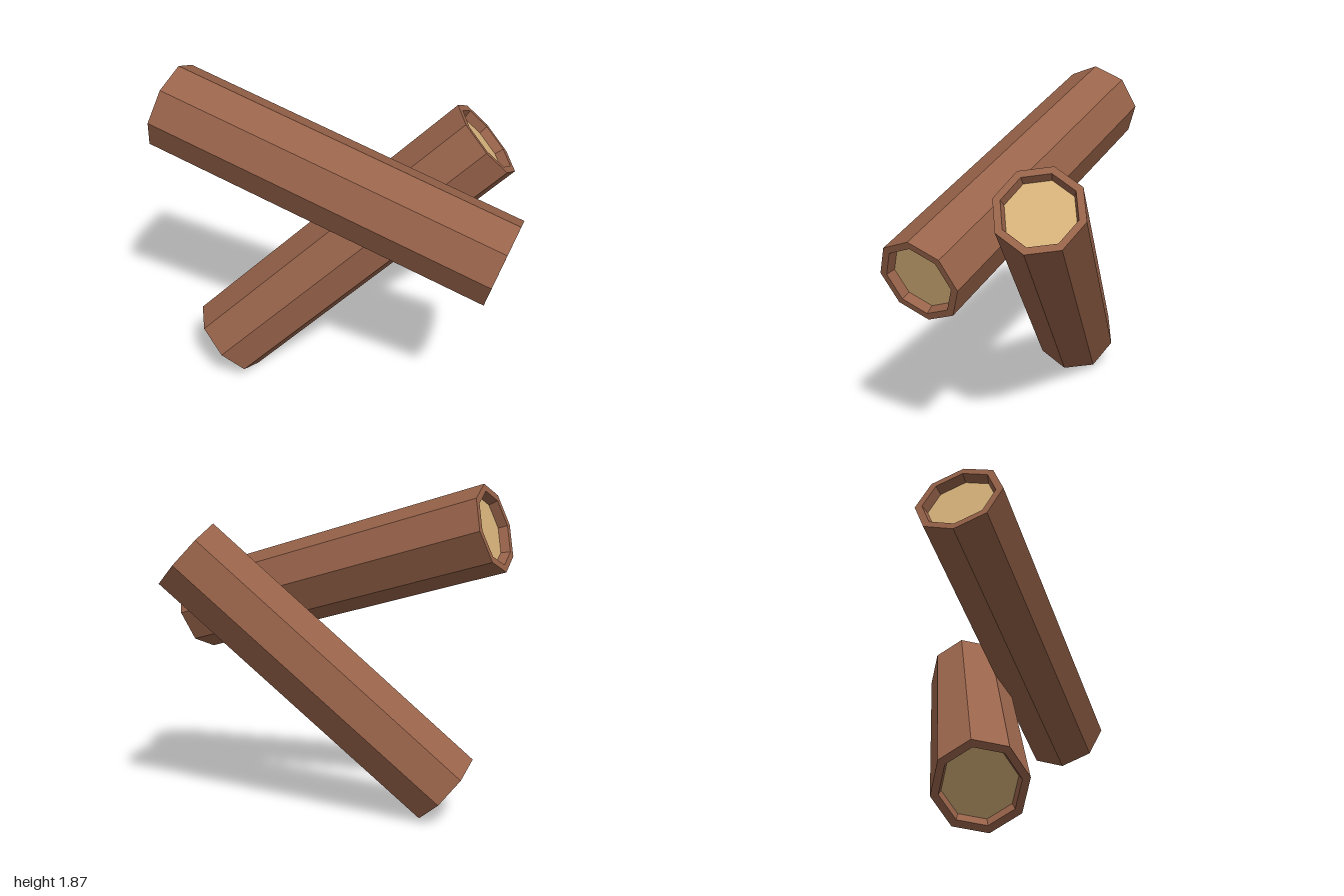
import * as THREE from 'three';

const RADIUS = 0.24, RIM = 0.2, CAP = 0.187, DEPTH = 0.05, SIDES = 8;

// separate faces so that every facet is flat
function faceted(geometry) {
  const flat = geometry.toNonIndexed();
  flat.computeVertexNormals();
  return flat;
}

export function createModel() {
  const bark = new THREE.MeshStandardMaterial({ color: 0x98634a });
  bark.name = 'bark brown';
  const wood = new THREE.MeshStandardMaterial({ color: 0xd6b27a });
  wood.name = 'cut wood tan';

  // a log between two end centres; edgeHint points towards one of its long edges
  function makeLog(name, start, end, edgeHint) {
    const log = new THREE.Group();
    log.name = name;
    const h = start.distanceTo(end) / 2;

    // bark shell with a rim and a tapered recess at each end
    const profile = [
      [CAP, -h + DEPTH], [RIM, -h], [RADIUS, -h],
      [RADIUS, h], [RIM, h], [CAP, h - DEPTH],
    ].map(([r, y]) => new THREE.Vector2(r, y));
    const shell = new THREE.Mesh(faceted(new THREE.LatheGeometry(profile, SIDES)), bark);
    shell.name = 'barkShell';
    log.add(shell);

    // sunken cut faces
    for (const side of [-1, 1]) {
      const cut = new THREE.Mesh(new THREE.CircleGeometry(CAP, SIDES), wood);
      cut.name = side < 0 ? 'startCutFace' : 'endCutFace';
      cut.rotation.x = -side * Math.PI / 2;
      cut.position.y = side * (h - DEPTH);
      log.add(cut);
    }

    // lay the log along its axis
    const axis = end.clone().sub(start).normalize();
    const edge = edgeHint.clone().addScaledVector(axis, -edgeHint.dot(axis)).normalize();
    const across = axis.clone().cross(edge);
    log.quaternion.setFromRotationMatrix(new THREE.Matrix4().makeBasis(across, axis, edge));
    log.position.copy(start).add(end).multiplyScalar(0.5);
    return log;
  }

  const V = (x, y, z) => new THREE.Vector3(x, y, z);
  const model = new THREE.Group();
  model.name = 'crossedLogs';
  model.add(
    makeLog('frontLog', V(-0.928, 1.64, 0.263), V(0.928, 1.085, 0.263), V(0, 1, 0)),
    makeLog('leaningLog', V(-0.664, 0.178, 0.28), V(0.661, 1.475, -0.28), V(-0.17, 0.18, 0.015)),
  );
  return model;
}
